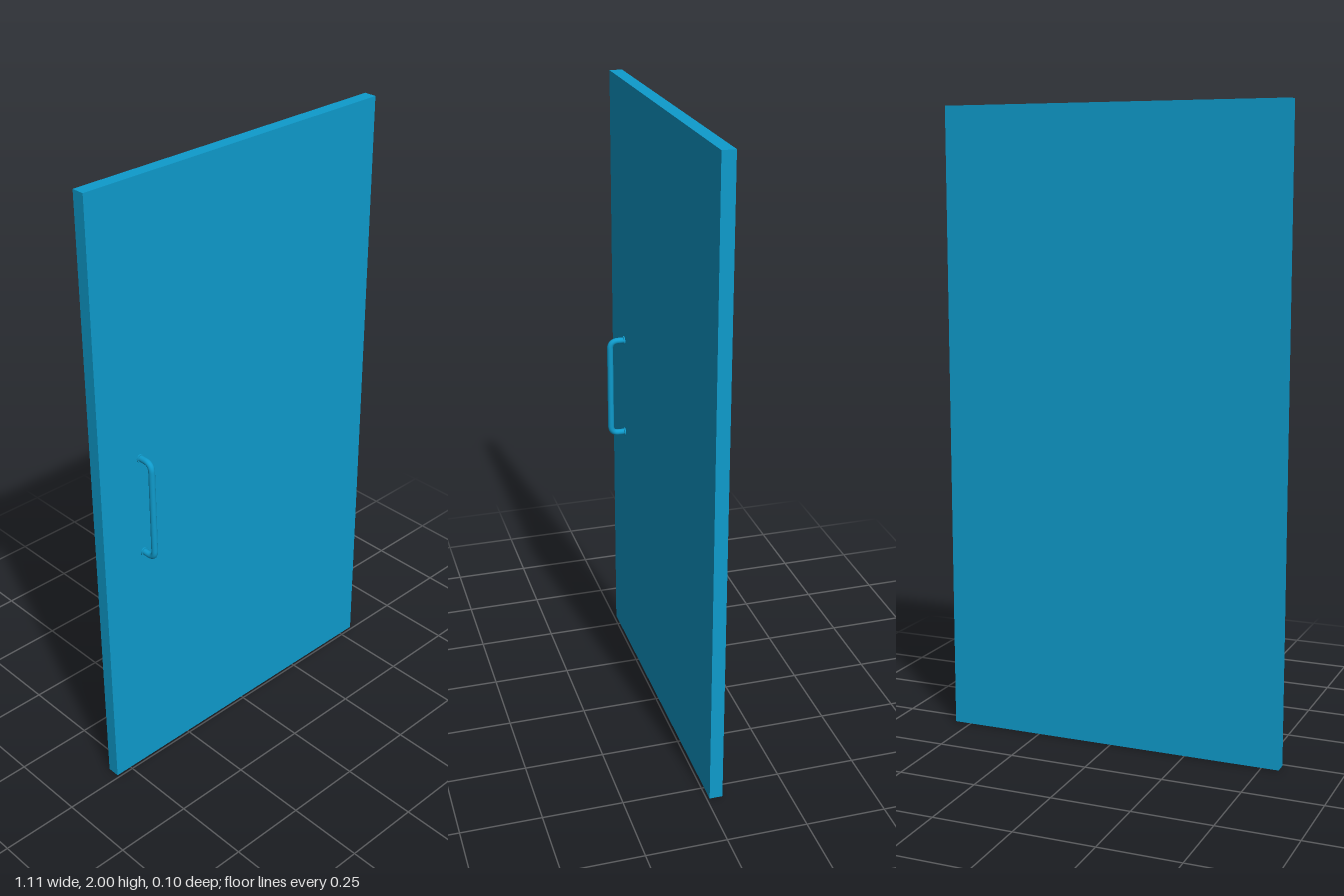
import * as THREE from 'three';

export function createModel() {
  const model = new THREE.Group();
  const material = new THREE.MeshStandardMaterial({ color: 0x0e9bcc });
  const add = (name, geometry, parent, x, y, z) => {
    const mesh = new THREE.Mesh(geometry, material);
    mesh.name = name;
    mesh.position.set(x, y, z);
    parent.add(mesh);
    return mesh;
  };

  // Flat door slab
  const front = -0.009;
  const thickness = 0.041;
  add('doorPanel', new THREE.BoxGeometry(1.11, 2, thickness), model, 0, 1, front - thickness / 2);

  // Pull handle: a round bar with two rounded bends, seen in the YZ plane
  const handle = new THREE.Group();
  handle.name = 'handle';
  handle.position.set(-0.404, 0.98, 0);
  model.add(handle);

  const radius = 0.01, half = 0.165, reach = 0.04, bend = 0.026;
  const p = (y, z) => new THREE.Vector3(0, y, z);
  const path = new THREE.CurvePath();
  path.add(new THREE.LineCurve3(p(-half, front), p(-half, reach - bend)));
  path.add(new THREE.QuadraticBezierCurve3(p(-half, reach - bend), p(-half, reach), p(-half + bend, reach)));
  path.add(new THREE.LineCurve3(p(-half + bend, reach), p(half - bend, reach)));
  path.add(new THREE.QuadraticBezierCurve3(p(half - bend, reach), p(half, reach), p(half, reach - bend)));
  path.add(new THREE.LineCurve3(p(half, reach - bend), p(half, front)));
  add('handleBar', new THREE.TubeGeometry(path, 96, radius, 20), handle, 0, 0, 0);

  // Thin mounting collars where the bar meets the slab
  for (const side of [-1, 1]) {
    const collar = add('handleCollar', new THREE.CylinderGeometry(0.0135, 0.0135, 0.004, 24),
      handle, 0, side * half, front + 0.002);
    collar.rotation.x = Math.PI / 2;
  }

  return model;
}
